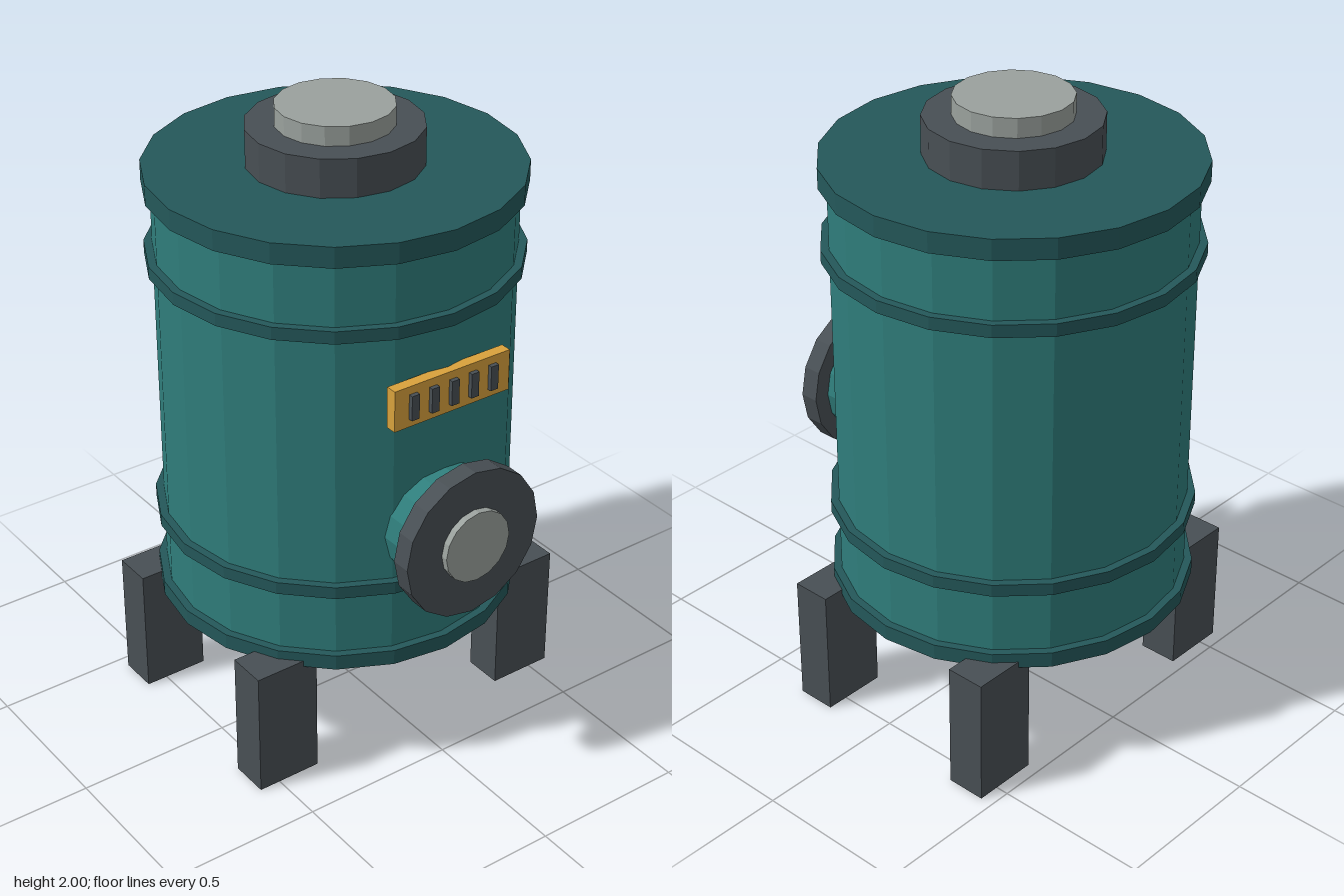
import * as THREE from 'three';

export function createModel() {
  const model = new THREE.Group();
  model.name = 'storageTank';

  const mat = (name, color) => {
    const m = new THREE.MeshStandardMaterial({ color, flatShading: true });
    m.name = name;
    return m;
  };
  const teal = mat('teal', 0x2f7d7b);
  const darkTeal = mat('darkTeal', 0x24585a);
  const charcoal = mat('charcoal', 0x484f54);
  const grey = mat('lightGrey', 0x9aa19d);
  const gold = mat('gold', 0xd9a23c);

  const axisZ = -0.067; // tank axis
  const portY = 0.848;

  const add = (name, geometry, material, x, y, z) => {
    const mesh = new THREE.Mesh(geometry, material);
    mesh.name = name;
    mesh.position.set(x, y, z);
    model.add(mesh);
    return mesh;
  };
  // Upright drum between two heights
  const drum = (name, r, y0, y1, sides, material) =>
    add(name, new THREE.CylinderGeometry(r, r, y1 - y0, sides), material, 0, (y0 + y1) / 2, axisZ);
  // Forward-facing disc between two depths
  const port = (name, r, z0, z1, material) => {
    const g = new THREE.CylinderGeometry(r, r, z1 - z0, 16).rotateX(Math.PI / 2);
    return add(name, g, material, 0, portY, (z0 + z1) / 2);
  };
  const box = (name, w, h, d, material, x, y, z) =>
    add(name, new THREE.BoxGeometry(w, h, d), material, x, y, z);

  // Tank body with rims and hoops
  drum('tankBody', 0.545, 0.42, 1.8, 20, teal);
  drum('bottomRim', 0.57, 0.4, 0.45, 20, darkTeal);
  drum('lowerHoop', 0.57, 0.66, 0.7, 20, darkTeal);
  drum('upperHoop', 0.57, 1.52, 1.56, 20, darkTeal);
  drum('topRim', 0.57, 1.755, 1.82, 20, darkTeal);

  // Filler neck on the lid
  drum('lidCollar', 0.267, 1.82, 1.94, 16, charcoal);
  drum('lidCap', 0.179, 1.94, 2.0, 16, grey);

  // Front port
  port('portNeck', 0.19, 0.38, 0.556, teal);
  port('portFlange', 0.243, 0.556, 0.618, charcoal);
  port('portCap', 0.117, 0.618, 0.64, grey);

  // Vent plate with five slots
  box('ventPlate', 0.415, 0.132, 0.036, gold, 0, 1.31, 0.486);
  for (let i = -2; i <= 2; i++) {
    box('ventSlot', 0.027, 0.08, 0.014, charcoal, i * 0.0715, 1.31, 0.511);
  }

  // Four legs
  for (const sx of [-1, 1]) {
    for (const sz of [-1, 1]) {
      box('leg', 0.213, 0.42, 0.128, charcoal, sx * 0.463, 0.21, axisZ + sz * 0.327);
    }
  }
  return model;
}
